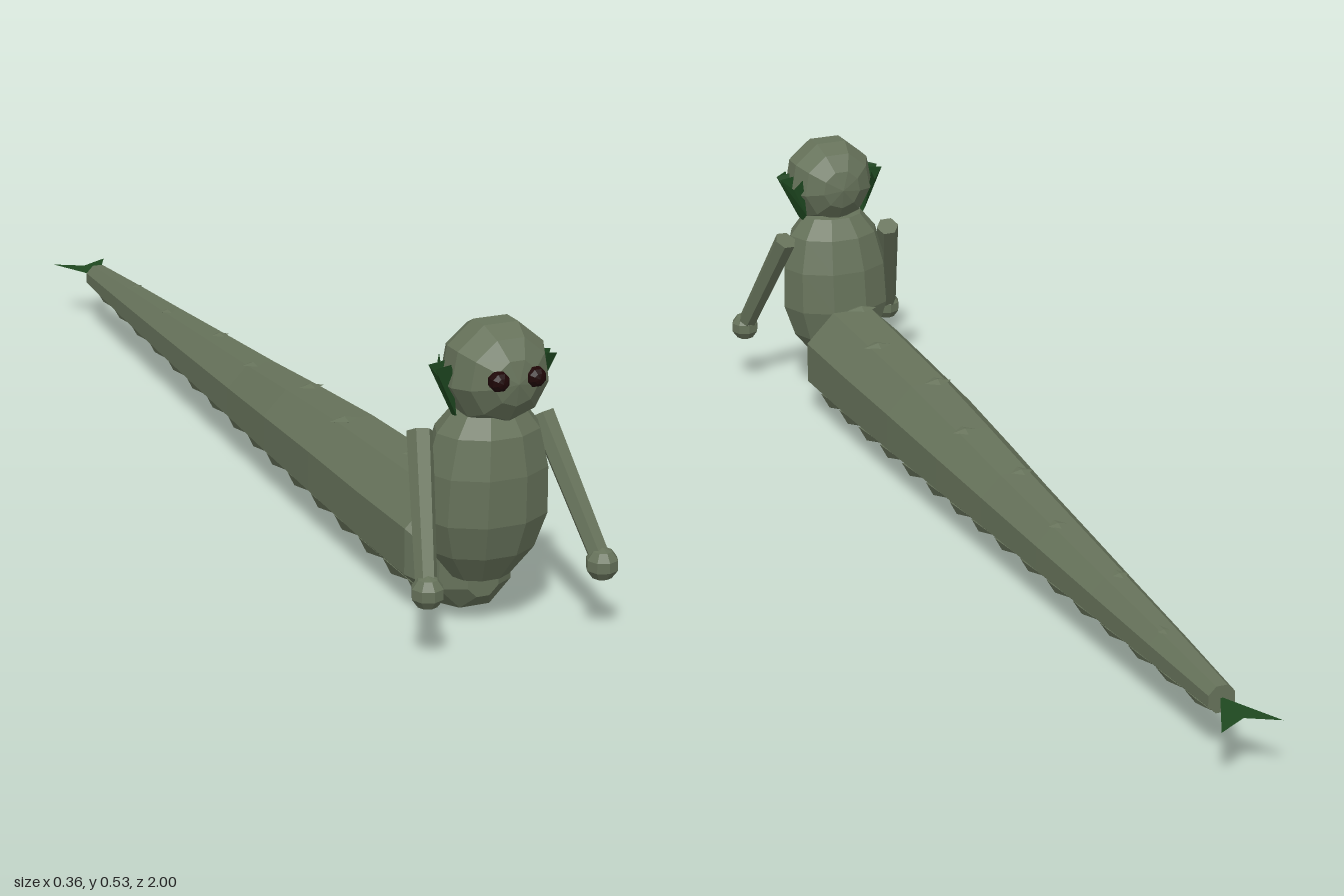
import * as THREE from 'three';

const material = (name, color) => {
  const m = new THREE.MeshStandardMaterial({ color, flatShading: true });
  m.name = name;
  return m;
};

export function createModel() {
  const model = new THREE.Group();
  const skin = material('mossy skin', 0x66725a);
  const fin = material('dark green fin', 0x1e4820);
  fin.side = THREE.DoubleSide;
  const eyeMat = material('dark red eye', 0x1e0606);

  const add = (name, geometry, mat, pos = [0, 0, 0], scale = [1, 1, 1]) => {
    const mesh = new THREE.Mesh(geometry, mat);
    mesh.name = name;
    mesh.position.set(...pos);
    mesh.scale.set(...scale);
    model.add(mesh);
    return mesh;
  };
  // Tapered faceted rod between two points
  const rod = (name, a, b, ra, rb, sides) => {
    const from = new THREE.Vector3(...a), to = new THREE.Vector3(...b);
    const dir = to.clone().sub(from);
    const mesh = add(name, new THREE.CylinderGeometry(rb, ra, dir.length(), sides), skin);
    mesh.position.copy(from).add(to).multiplyScalar(0.5);
    mesh.quaternion.setFromUnitVectors(new THREE.Vector3(0, 1, 0), dir.normalize());
  };
  // Open surface made from triangles given as corner triples
  const triangles = (corners) => {
    const g = new THREE.BufferGeometry();
    g.setAttribute('position', new THREE.Float32BufferAttribute(corners.flat(), 3));
    g.computeVertexNormals();
    return g;
  };

  // Head: nine-sided ball with a flat crown
  const head = new THREE.SphereGeometry(0.089, 9, 7, -Math.PI / 2);
  head.rotateX(-Math.PI / 2);
  const hp = head.attributes.position;
  for (let i = 0; i < hp.count; i++) hp.setY(i, Math.max(hp.getY(i), -0.079));
  add('head', head, skin, [0, 0.447, 0.885], [1, 1, 0.96]);

  // Upright body, leaning slightly forward
  const profile = [[0, 0.078], [0.05, 0.09], [0.09, 0.14], [0.11, 0.2], [0.107, 0.28],
    [0.09, 0.345], [0.06, 0.382], [0, 0.39]].map(p => new THREE.Vector2(...p));
  const torso = new THREE.LatheGeometry(profile, 10, Math.PI / 10);
  torso.scale(1, 1, 0.8);
  const tp = torso.attributes.position;
  for (let i = 0; i < tp.count; i++) tp.setZ(i, tp.getZ(i) + 0.855 + 0.06 * (tp.getY(i) - 0.2));
  add('torso', torso, skin);

  for (const s of [-1, 1]) {
    // Arms, hands and eyes
    rod('arm', [s * 0.109, 0.345, 0.842], [s * 0.155, 0.13, 0.968], 0.022, 0.018, 6);
    add('hand', new THREE.SphereGeometry(0.028, 8, 5), skin, [s * 0.155, 0.125, 0.972]);
    const eye = add('eye', new THREE.SphereGeometry(0.0175, 8, 6, Math.PI / 8), eyeMat,
      [s * 0.032, 0.454, 0.962]);
    eye.rotation.x = Math.PI / 2;

    // Ear frill: flared web with a jagged rim, hugging the side of the head
    const rim = [[0.073, 0.468, 0.834], [0.086, 0.445, 0.85], [0.108, 0.463, 0.868],
      [0.096, 0.445, 0.88], [0.107, 0.462, 0.892], [0.084, 0.468, 0.903]];
    const root = [[0.062, 0.39, 0.845], [0.064, 0.373, 0.865], [0.066, 0.378, 0.885]];
    const mirror = p => [s * p[0], p[1], p[2]];
    const web = [];
    for (let i = 0; i < rim.length - 1; i++) {
      web.push(mirror(rim[i]), mirror(rim[i + 1]), mirror(root[i >> 1]));
      if (i % 2) web.push(mirror(rim[i + 1]), mirror(root[i >> 1]), mirror(root[(i >> 1) + 1]));
    }
    // Vertical blades tying the rim points to the head
    for (const i of [2, 4]) {
      web.push(mirror(rim[i]), mirror(root[1]), [s * 0.07, 0.468, rim[i][2]]);
    }
    add('earFrill', triangles(web), fin);
  }

  // Tail: eight-sided sections along z, as [z, centre height, radius]
  const rings = [[0.86, 0.08, 0.03], [0.83, 0.09, 0.07], [0.765, 0.11, 0.104], [0.57, 0.11, 0.1],
    [0.36, 0.112, 0.093], [0.14, 0.11, 0.082], [-0.05, 0.108, 0.071], [-0.27, 0.107, 0.06],
    [-0.48, 0.106, 0.049], [-0.69, 0.106, 0.038], [-0.89, 0.106, 0.026]];
  const sides = 8;
  const points = [], index = [];
  rings.forEach(([z, y, r], k) => {
    for (let i = 0; i < sides; i++) {
      const a = (i + 0.5) / sides * Math.PI * 2;
      points.push(Math.cos(a) * r, y + Math.sin(a) * r, z);
      const j = (i + 1) % sides, b = k * sides;
      if (k < rings.length - 1) {
        index.push(b + i, b + sides + i, b + j, b + j, b + sides + i, b + sides + j);
      }
    }
  });
  // Close both ends of the tail
  const last = (rings.length - 1) * sides;
  for (let i = 1; i < sides - 1; i++) {
    index.push(0, i, i + 1, last, last + i + 1, last + i);
  }
  const tail = new THREE.BufferGeometry();
  tail.setAttribute('position', new THREE.Float32BufferAttribute(points, 3));
  tail.setIndex(index);
  tail.computeVertexNormals();
  add('tail', tail, skin);

  // Low scales poking through the belly and a few along the back
  for (let k = 2; k < rings.length - 1; k++) {
    for (const t of [0.15, 0.65]) {
      const [z0, y0, r0] = rings[k], [z1, y1, r1] = rings[k + 1];
      const z = z0 + (z1 - z0) * t, y = y0 + (y1 - y0) * t, r = r0 + (r1 - r0) * t;
      for (const side of [-1, 0, 1]) {
        const a = -Math.PI / 2 + side * 0.7;
        const scale = add('bellyScale', new THREE.OctahedronGeometry(1), skin,
          [Math.cos(a) * r * 0.92, y + Math.sin(a) * r * 0.92, z - side * 0.02],
          [r * 0.32, r * 0.1 + 0.003, 0.05]);
        scale.rotation.set(0.08, 0, a + Math.PI / 2);
      }
    }
    const [z, y, r] = rings[k];
    const back = add('backScale', new THREE.OctahedronGeometry(1), skin,
      [(k % 2 ? 0.2 : -0.2) * r, y + r * 0.92, z], [r * 0.3, r * 0.07, 0.02]);
    back.rotation.x = -0.1;
  }

  // Forked tail fin
  add('tailFin', triangles([
    [0, 0.108, -0.885], [0.055, 0.108, -1], [0, 0.108, -0.968],
    [0, 0.108, -0.885], [0, 0.108, -0.968], [-0.055, 0.108, -1],
  ]), fin);

  return model;
}
